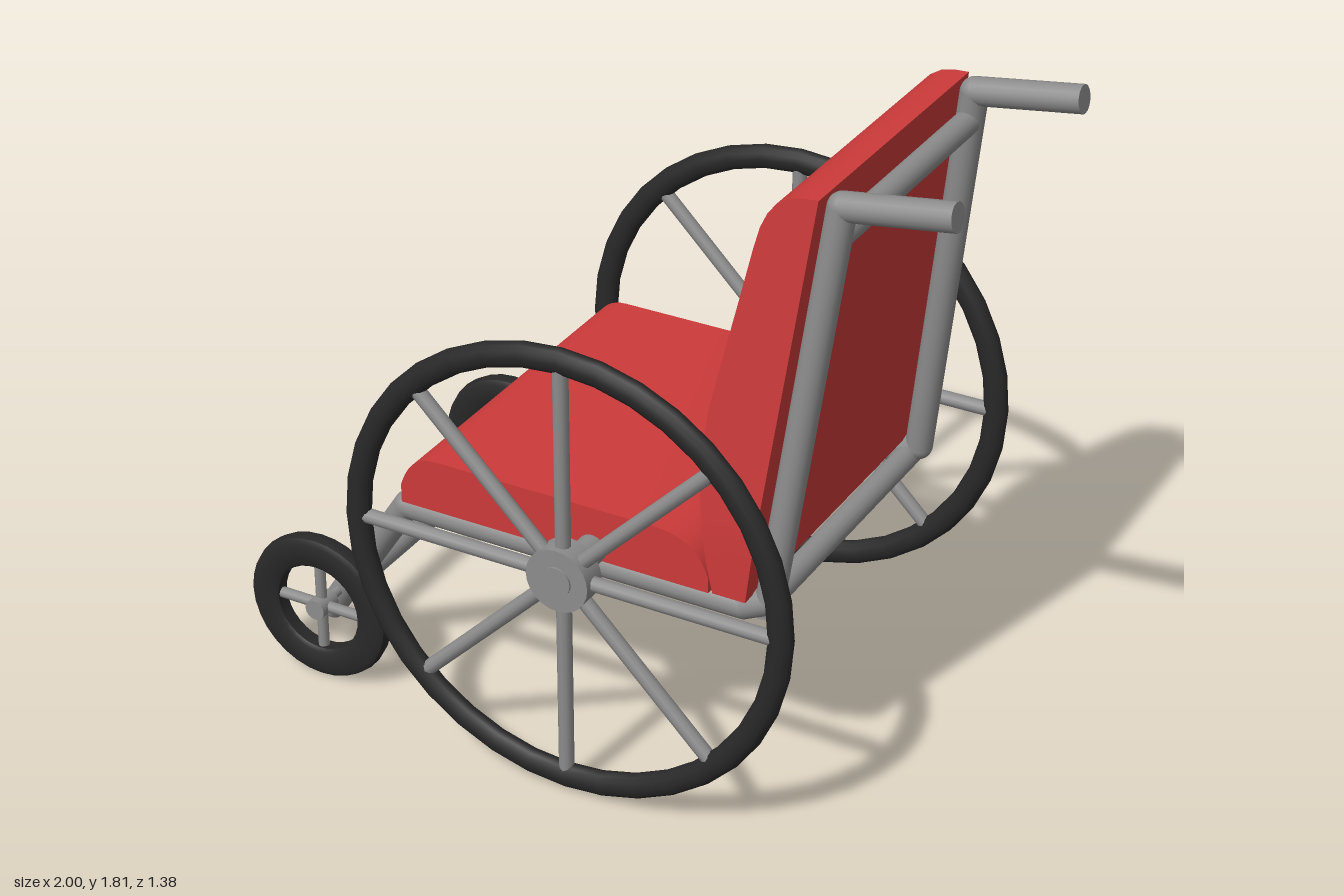
import * as THREE from 'three';
import { toCreasedNormals } from 'three/addons/utils/BufferGeometryUtils.js';

const metal = new THREE.MeshStandardMaterial({ color: 0x8c8c8c });
metal.name = 'grey metal';
const rubber = new THREE.MeshStandardMaterial({ color: 0x282828 });
rubber.name = 'black rubber';
const fabric = new THREE.MeshStandardMaterial({ color: 0xcc3a3a });
fabric.name = 'red upholstery';

const V = (x, y, z) => new THREE.Vector3(x, y, z);

function add(parent, name, geometry, material) {
  const mesh = new THREE.Mesh(geometry, material);
  mesh.name = name;
  parent.add(mesh);
  return mesh;
}

// Straight round bar between two points
function bar(parent, name, a, b, radius, sides = 16, material = metal) {
  const dir = b.clone().sub(a);
  const mesh = add(parent, name, new THREE.CylinderGeometry(radius, radius, dir.length(), sides), material);
  mesh.position.copy(a).add(b).multiplyScalar(0.5);
  mesh.quaternion.setFromUnitVectors(V(0, 1, 0), dir.normalize());
  return mesh;
}

// Bars joined by rounded elbows
function pipe(parent, name, points, radius) {
  const group = new THREE.Group();
  group.name = name;
  points.forEach((p, i) => {
    if (i > 0) bar(group, 'tube', points[i - 1], p, radius);
    if (i > 0 && i < points.length - 1) {
      add(group, 'elbow', new THREE.SphereGeometry(radius, 16, 12), metal).position.copy(p);
    }
  });
  parent.add(group);
}

// Spokes running across the full diameter
function spokes(parent, pairs, length, radius) {
  for (let i = 0; i < pairs; i++) {
    const a = (i * Math.PI) / pairs;
    const tip = V(Math.cos(a) * length, Math.sin(a) * length, 0);
    bar(parent, 'spoke', tip.clone().negate(), tip, radius, 10);
  }
}

function driveWheel(side) {
  const g = new THREE.Group();
  g.name = 'driveWheel';
  const tyre = new THREE.TorusGeometry(0.618, 0.035, 12, 36);
  tyre.scale(1, 1, 0.8);
  add(g, 'tyre', tyre, rubber);
  spokes(g, 4, 0.61, 0.021);
  bar(g, 'hub', V(0, 0, -0.036), V(0, 0, 0.036), 0.09, 24);
  bar(g, 'hubCap', V(0, 0, -0.04), V(0, 0, 0.042), 0.042, 20);
  g.position.set(0.08, 0.667, 0.648 * side);
  return g;
}

function casterWheel(side) {
  const g = new THREE.Group();
  g.name = 'casterWheel';
  // Flat-sided tyre with rounded shoulders
  const profile = [
    [0.13, -0.02], [0.14, -0.028], [0.2, -0.028], [0.214, -0.02], [0.219, 0],
    [0.214, 0.02], [0.2, 0.028], [0.14, 0.028], [0.13, 0.02], [0.13, -0.02],
  ].map(([r, h]) => new THREE.Vector2(r, h));
  const tyre = toCreasedNormals(new THREE.LatheGeometry(profile, 32), 0.75);
  tyre.rotateX(Math.PI / 2);
  add(g, 'tyre', tyre, rubber);
  spokes(g, 2, 0.14, 0.016);
  bar(g, 'hub', V(0, 0, -0.036), V(0, 0, 0.036), 0.03, 16);
  bar(g, 'axle', V(0, 0, -0.13 * side), V(0, 0, 0.036 * side), 0.014, 12);
  g.position.set(-0.78, 0.224, 0.503 * side);
  return g;
}

function seatGeometry() {
  const s = new THREE.Shape();
  s.moveTo(-0.5, 0.637);
  s.lineTo(-0.5, 0.69);
  s.bezierCurveTo(-0.48, 0.75, -0.45, 0.788, -0.39, 0.788);
  s.lineTo(0.27, 0.788);
  s.bezierCurveTo(0.36, 0.785, 0.4, 0.735, 0.418, 0.68);
  s.lineTo(0.418, 0.637);
  const geo = new THREE.ExtrudeGeometry(s, { depth: 1.01, bevelEnabled: false, curveSegments: 10 });
  geo.translate(0, 0, -0.505);
  return toCreasedNormals(geo, 0.6);
}

// Cushion lofted from level sections: height and front edge
function backrestGeometry() {
  const rows = [
    [0.64, 0.43], [0.72, 0.412], [0.82, 0.398], [0.92, 0.388], [1.03, 0.387], [1.15, 0.4],
    [1.3, 0.432], [1.45, 0.465], [1.6, 0.497], [1.66, 0.512], [1.7, 0.53],
    [1.73, 0.553], [1.75, 0.585], [1.758, 0.62], [1.76, 0.655],
  ];
  const rings = rows.map(([y, front]) => {
    const back = 0.523 + (y - 0.64) * 0.123;
    const half = 0.505 - Math.max(0, y - 0.82) * 0.083;
    return [[front, y, -half], [front, y, half], [back, y, half], [back, y, -half]];
  });
  const pos = [];
  const quad = (a, b, c, d) => pos.push(...a, ...b, ...c, ...a, ...c, ...d);
  for (let i = 0; i < rings.length - 1; i++) {
    for (let k = 0; k < 4; k++) {
      const n = (k + 1) % 4;
      quad(rings[i][k], rings[i][n], rings[i + 1][n], rings[i + 1][k]);
    }
  }
  const top = rings[rings.length - 1];
  quad(top[0], top[1], top[2], top[3]);
  const low = rings[0];
  quad(low[3], low[2], low[1], low[0]);
  const geo = new THREE.BufferGeometry();
  geo.setAttribute('position', new THREE.Float32BufferAttribute(pos, 3));
  return toCreasedNormals(geo, 0.6);
}

export function createModel() {
  const chair = new THREE.Group();
  chair.name = 'wheelchair';

  add(chair, 'seatCushion', seatGeometry(), fabric);
  add(chair, 'backrest', backrestGeometry(), fabric);

  // Side frames run from push handle to front foot
  for (const side of [1, -1]) {
    pipe(chair, 'sideFrame', [
      V(0.996, 1.777, 0.378 * side),
      V(0.7, 1.735, 0.378 * side),
      V(0.562, 0.625, 0.442 * side),
      V(0.49, 0.593, 0.447 * side),
      V(-0.52, 0.593, 0.447 * side),
      V(-0.84, 0.125, 0.372 * side),
    ], 0.038);
    chair.add(driveWheel(side), casterWheel(side));
  }

  // Cross members
  const crossBars = [
    ['upperBackBar', 0.69, 1.652, 0.383, 0.034],
    ['rearSeatBar', 0.535, 0.593, 0.442, 0.034],
    ['frontSeatBar', -0.5, 0.593, 0.447, 0.034],
    ['footBar', -0.812, 0.175, 0.38, 0.032],
    ['mainAxle', 0.08, 0.667, 0.62, 0.041],
  ];
  for (const [name, x, y, half, r] of crossBars) {
    bar(chair, name, V(x, y, -half), V(x, y, half), r);
  }
  return chair;
}
